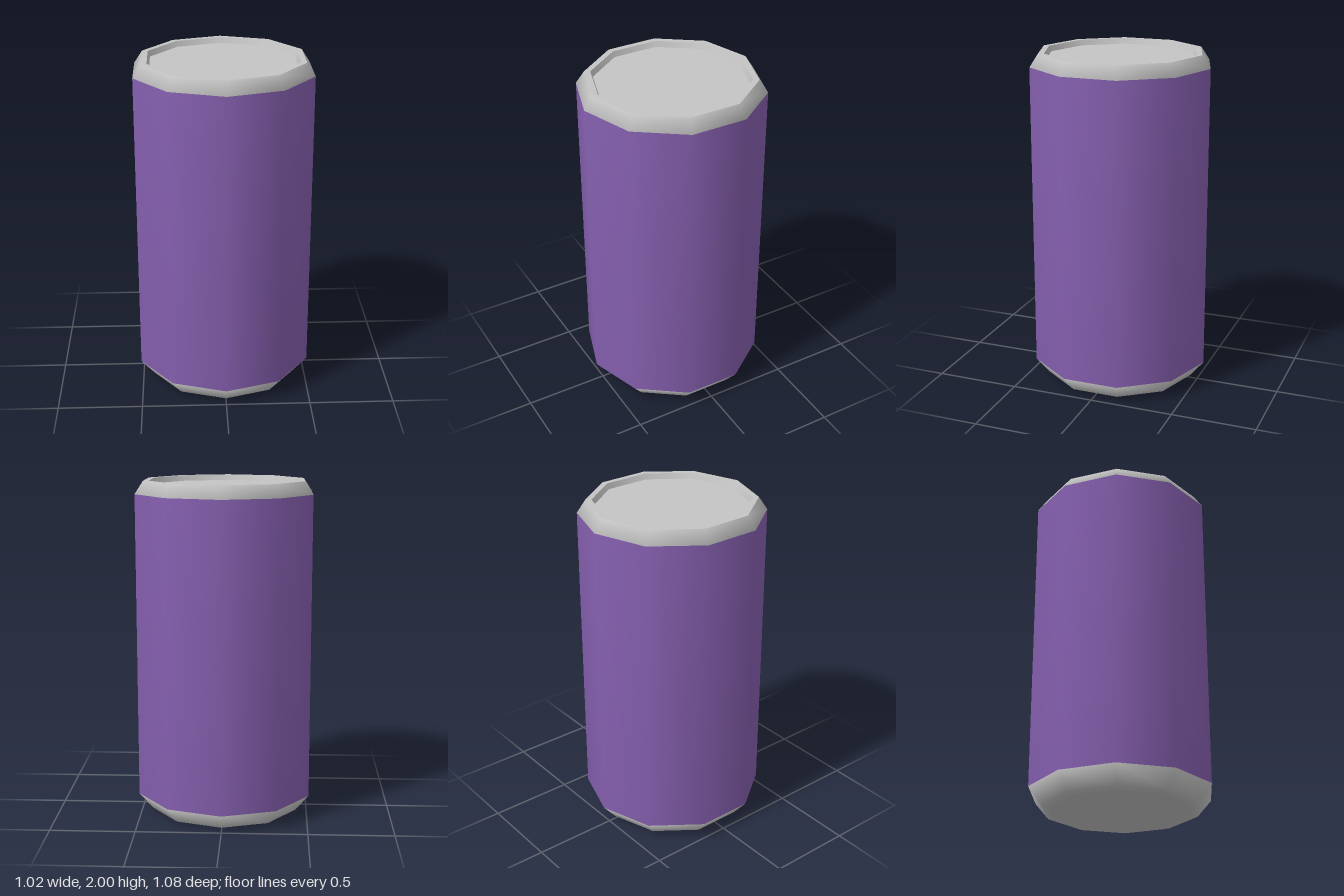
import * as THREE from 'three';

const SIDES = 10;
const metal = new THREE.MeshStandardMaterial({ color: 0xc4c4c4 });
metal.name = 'grey metal';
const paint = new THREE.MeshStandardMaterial({ color: 0x8660b0 });
paint.name = 'purple paint';

const lathe = (profile) =>
  new THREE.LatheGeometry(profile.map(([r, y]) => new THREE.Vector2(r, y)), SIDES);

// Keep only the profile bands from..to of a lathe, with its smooth normals intact
function bands(source, count, from, to) {
  const geometry = source.clone();
  const index = Array.from(source.index.array);
  geometry.setIndex(index.filter((_, k) => {
    const band = Math.floor(k / 6) % count;
    return band >= from && band < to;
  }));
  return geometry;
}

export function createModel() {
  const can = new THREE.Group();
  can.name = 'drinkCan';
  const add = (name, geometry, material) => {
    const mesh = new THREE.Mesh(geometry, material);
    mesh.name = name;
    can.add(mesh);
  };

  // Outer shell, smoothly shaded from base to shoulder
  const outer = [[0, 0.005], [0.41, 0.005], [0.455, 0.02], [0.538, 0.12], [0.538, 1.925], [0.488, 2]];
  const shell = lathe(outer);
  const count = outer.length - 1;
  add('base', bands(shell, count, 0, 3), metal);
  add('body', bands(shell, count, 3, 4), paint);
  add('shoulder', bands(shell, count, 4, 5), metal);

  // Crisp rim and recessed lid
  add('rim', lathe([[0.488, 2], [0.453, 2]]), metal);
  add('rimInnerWall', lathe([[0.453, 2], [0.44, 1.968]]), metal);
  add('lid', lathe([[0.44, 1.968], [0, 1.968]]), metal);

  return can;
}
